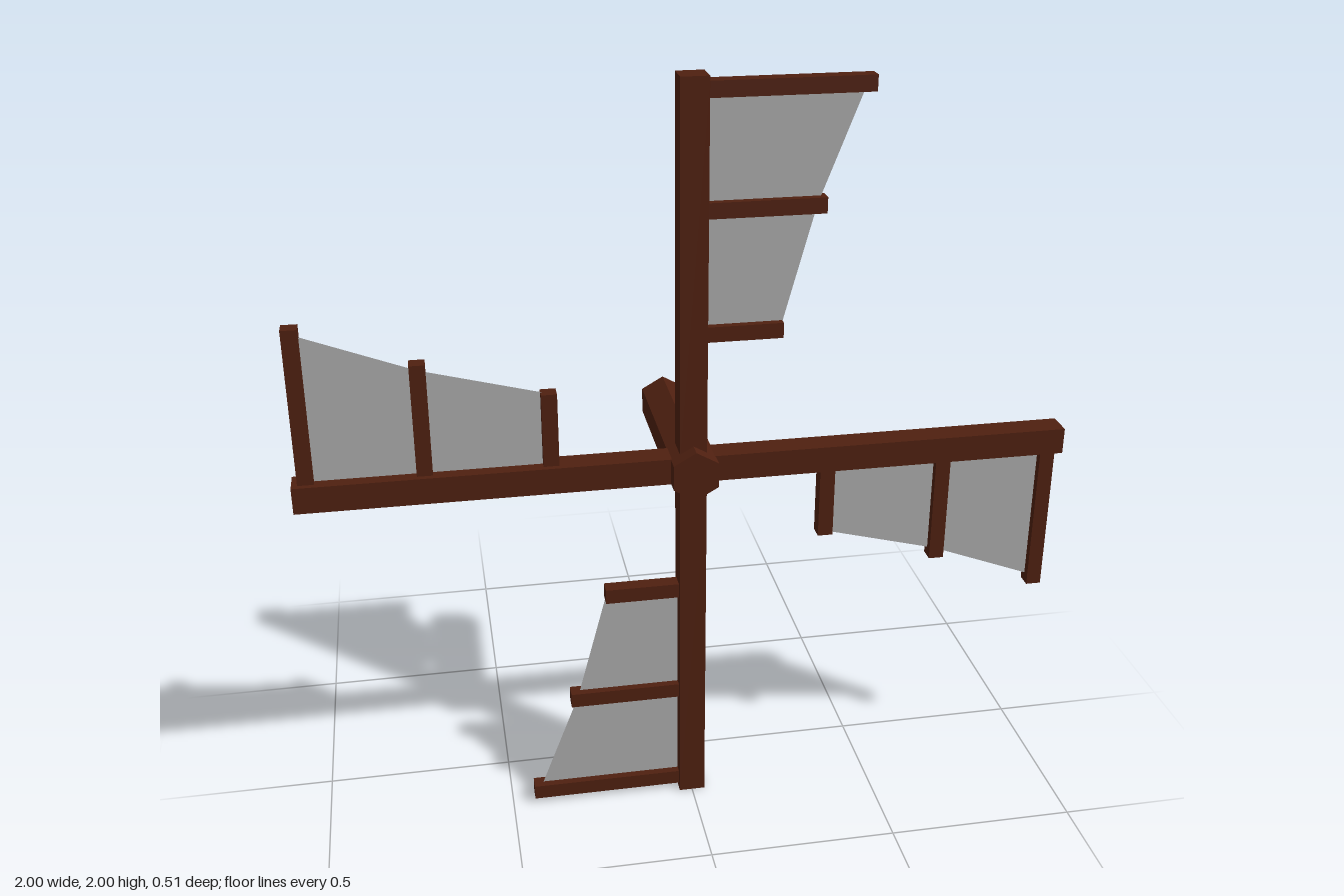
import * as THREE from 'three';

const SAIL_Z = 0.18;

export function createModel() {
  const wood = new THREE.MeshStandardMaterial({ color: 0x4f2010 });
  wood.name = 'dark wood';
  wood.flatShading = true;
  const cloth = new THREE.MeshStandardMaterial({ color: 0xaaaaaa, side: THREE.DoubleSide });
  cloth.name = 'grey sailcloth';

  const model = new THREE.Group();
  model.name = 'windmillSails';

  const add = (parent, name, geometry, material, x, y, z) => {
    const mesh = new THREE.Mesh(geometry, material);
    mesh.name = name;
    mesh.position.set(x, y, z);
    parent.add(mesh);
    return mesh;
  };

  // Hexagonal axle running front to back, with a corner pointing up
  const axle = new THREE.CylinderGeometry(0.067, 0.067, 0.51, 6).rotateX(Math.PI / 2);
  add(model, 'axle', axle, wood, 0, 1, 0);

  // Crossbars of one blade: distance from the axle and tip reach
  const bars = [[0.36, 0.23], [0.675, 0.33], [0.965, 0.44]];

  // Cloth outline, narrowing toward the axle
  const outline = new THREE.Shape([
    [0.03, 0.36], [0.226, 0.36], [0.31, 0.675], [0.422, 0.965], [0.03, 0.965],
  ].map(([x, y]) => new THREE.Vector2(x, y)));
  const sailGeometry = new THREE.ShapeGeometry(outline);

  // Four blades, each a quarter turn clockwise from the last
  for (let i = 0; i < 4; i++) {
    const blade = new THREE.Group();
    blade.name = `blade${i + 1}`;
    blade.position.set(0, 1, SAIL_Z);
    blade.rotation.z = -i * Math.PI / 2;
    add(blade, 'spar', new THREE.BoxGeometry(0.07, 0.965, 0.07), wood, 0, 0.5175, 0);
    for (const [y, reach] of bars) {
      add(blade, 'crossbar', new THREE.BoxGeometry(reach, 0.04, 0.04), wood, reach / 2, y, 0);
    }
    add(blade, 'sail', sailGeometry, cloth, 0, 0, 0);
    model.add(blade);
  }
  return model;
}
